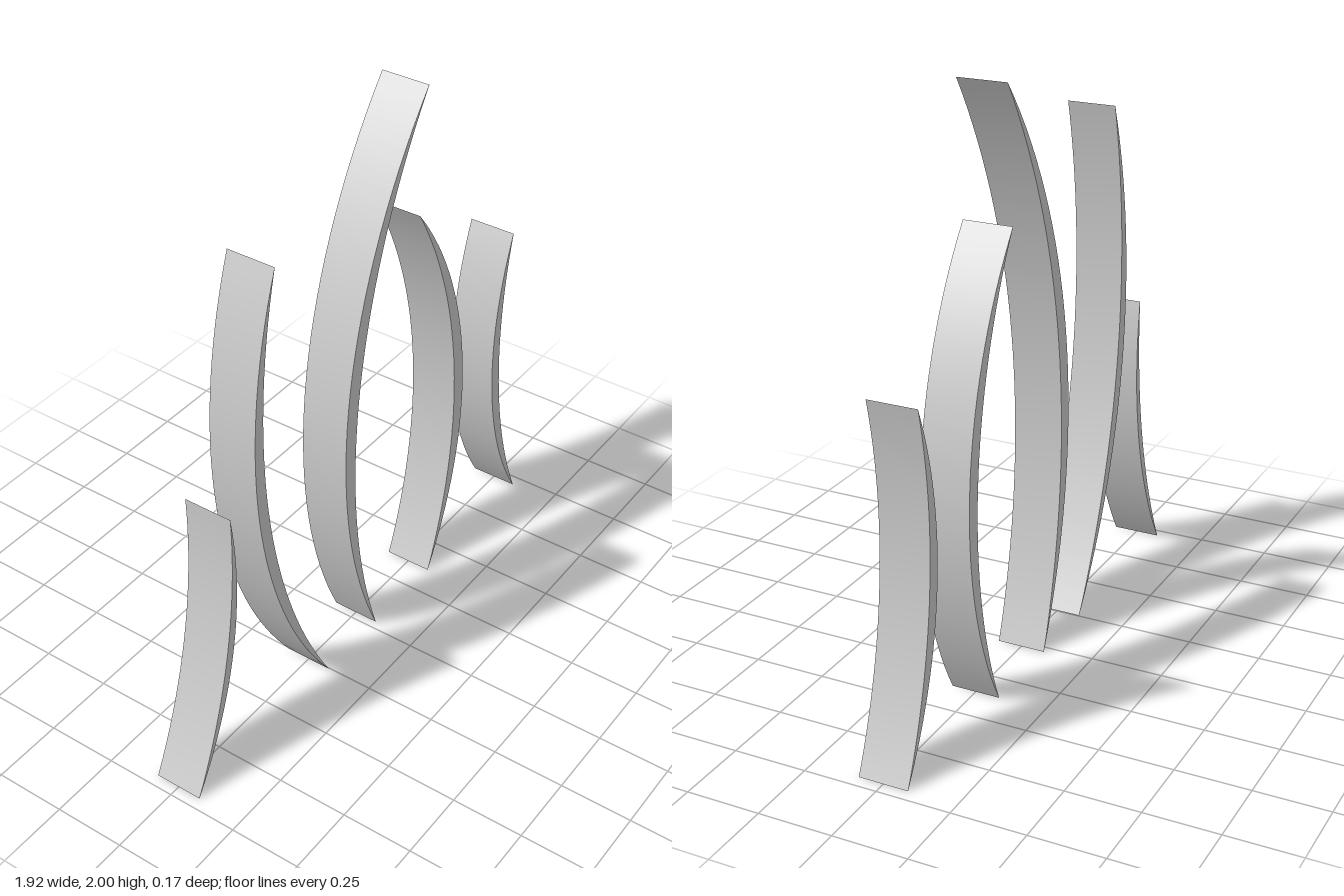
import * as THREE from 'three';
import { toCreasedNormals } from 'three/addons/utils/BufferGeometryUtils.js';

const DEPTH = 0.17;
const STEPS = 32;

// Points of a circular arc from a to b that bulges by s (positive s towards +x)
function arc(a, b, s) {
  const chord = b.clone().sub(a);
  const half = chord.length() / 2;
  const dir = chord.normalize();
  const normal = new THREE.Vector2(dir.y, -dir.x).multiplyScalar(Math.sign(s));
  const bulge = Math.abs(s);
  const radius = (half * half + bulge * bulge) / (2 * bulge);
  const centre = a.clone().add(b).multiplyScalar(0.5).addScaledVector(normal, bulge - radius);
  const sweep = Math.asin(half / radius);
  const points = [];
  for (let i = 0; i <= STEPS; i++) {
    const t = sweep * ((2 * i) / STEPS - 1);
    points.push(centre.clone()
      .addScaledVector(dir, radius * Math.sin(t))
      .addScaledVector(normal, radius * Math.cos(t)));
  }
  return points;
}

// Crescent between an outer and an inner arc, extruded along z
function blade(name, base, tip, outer, inner, material) {
  const a = new THREE.Vector2(...base);
  const b = new THREE.Vector2(...tip);
  const back = arc(a, b, inner).reverse().slice(1, -1);
  const shape = new THREE.Shape([...arc(a, b, outer), ...back]);
  const geometry = new THREE.ExtrudeGeometry(shape, { depth: DEPTH, bevelEnabled: false });
  geometry.translate(0, 0, -DEPTH / 2);
  const mesh = new THREE.Mesh(toCreasedNormals(geometry, Math.PI / 6), material);
  mesh.name = name;
  return mesh;
}

export function createModel() {
  const group = new THREE.Group();
  group.name = 'curvedBlades';
  const material = new THREE.MeshStandardMaterial({ color: 0xcccccc });

  // name, base, tip, outer bulge, inner bulge
  const blades = [
    ['outerRightBlade', [-0.96, 0], [-0.74, 1.01], 0.097, 0.066],
    ['innerRightBlade', [-0.253, 0], [-0.492, 1.765], -0.225, -0.178],
    ['centreBlade', [0.03, 0], [0.285, 2], -0.295, -0.238],
    ['innerLeftBlade', [0.362, 0], [0.253, 1.557], 0.241, 0.187],
    ['outerLeftBlade', [0.957, 0], [0.848, 1.187], -0.147, -0.1],
  ];
  for (const b of blades) group.add(blade(...b, material));
  return group;
}
